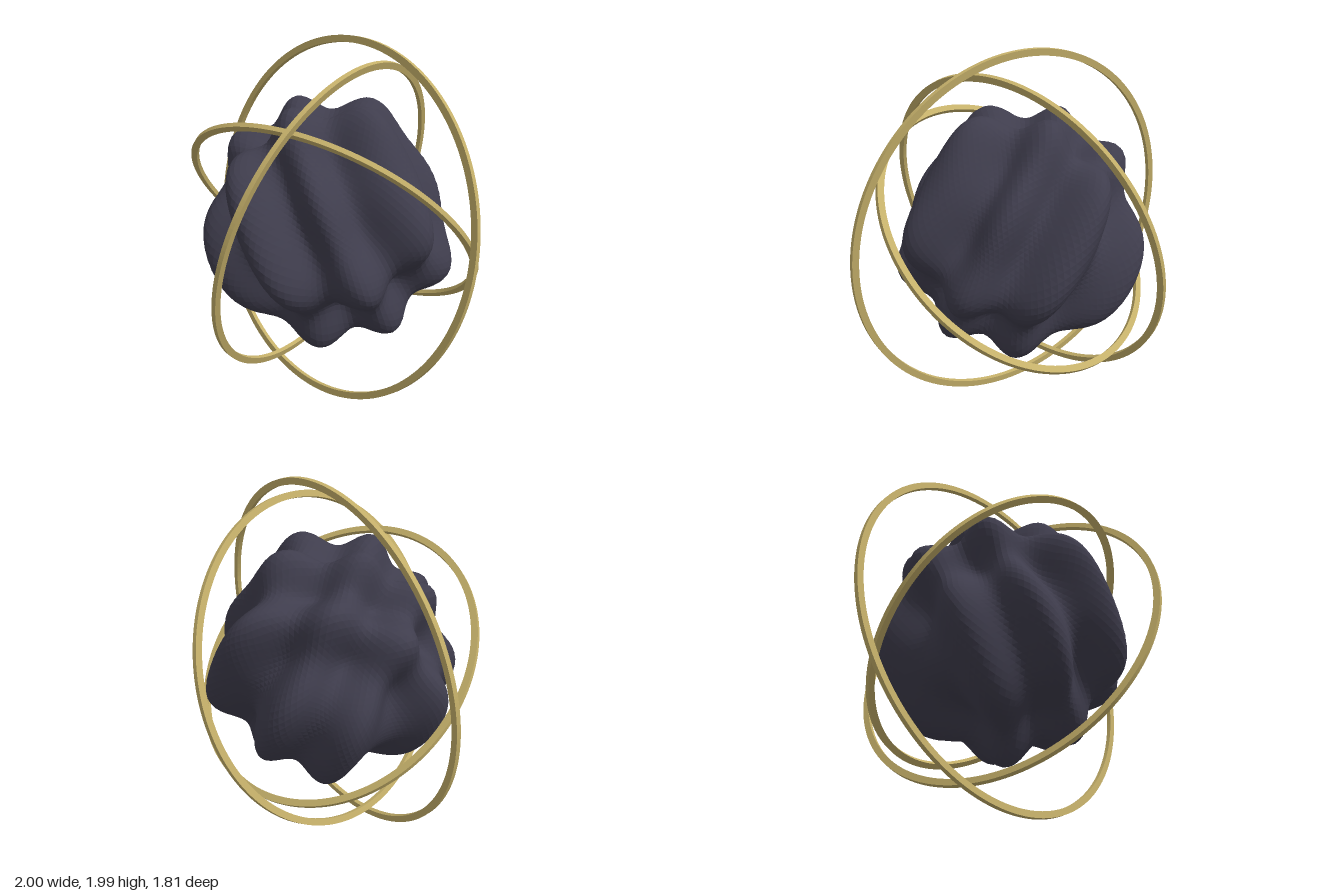
import * as THREE from 'three';

const CENTRE_Y = 0.993;

// Finely faceted sphere pushed in and out by crossed waves
function rippledSphere(radius, depth) {
  const geo = new THREE.IcosahedronGeometry(1, 24);
  const pos = geo.attributes.position;
  const v = new THREE.Vector3();
  for (let i = 0; i < pos.count; i++) {
    v.fromBufferAttribute(pos, i).normalize();
    const wave = Math.sin(7.5 * v.x + 5 * v.y) * Math.cos(7.1 * v.z);
    v.multiplyScalar(radius + depth * wave);
    pos.setXYZ(i, v.x, v.y, v.z);
  }
  geo.computeVertexNormals();
  return geo;
}

// Flat hoop with a rectangular section, facing +z
function hoop(outer, width = 0.036, thickness = 0.025) {
  const shape = new THREE.Shape().absarc(0, 0, outer, 0, Math.PI * 2, false);
  shape.holes.push(new THREE.Path().absarc(0, 0, outer - width, 0, Math.PI * 2, true));
  const geo = new THREE.ExtrudeGeometry(shape, { depth: thickness, bevelEnabled: false, curveSegments: 100 });
  return geo.translate(0, 0, -thickness / 2);
}

export function createModel() {
  const stone = new THREE.MeshStandardMaterial({ name: 'dark slate', color: 0x3f3d4d });
  const gold = new THREE.MeshStandardMaterial({ name: 'old gold', color: 0xc5b06a });

  const model = new THREE.Group();
  model.name = 'ringedOrb';

  const core = new THREE.Mesh(rippledSphere(0.615, 0.098), stone);
  core.name = 'core';
  core.position.y = CENTRE_Y;
  model.add(core);

  // Each ring: name, outer radius, axis direction
  const rings = [
    ['outerRing', 1, [0, 0.13, 0.99]],
    ['middleRing', 0.922, [0.923, -0.314, -0.217]],
    ['innerRing', 0.853, [-0.16, 0.7, -0.7]],
  ];
  const forward = new THREE.Vector3(0, 0, 1);
  for (const [name, outer, axis] of rings) {
    const ring = new THREE.Mesh(hoop(outer), gold);
    ring.name = name;
    ring.position.y = CENTRE_Y;
    ring.quaternion.setFromUnitVectors(forward, new THREE.Vector3(...axis).normalize());
    model.add(ring);
  }
  return model;
}
